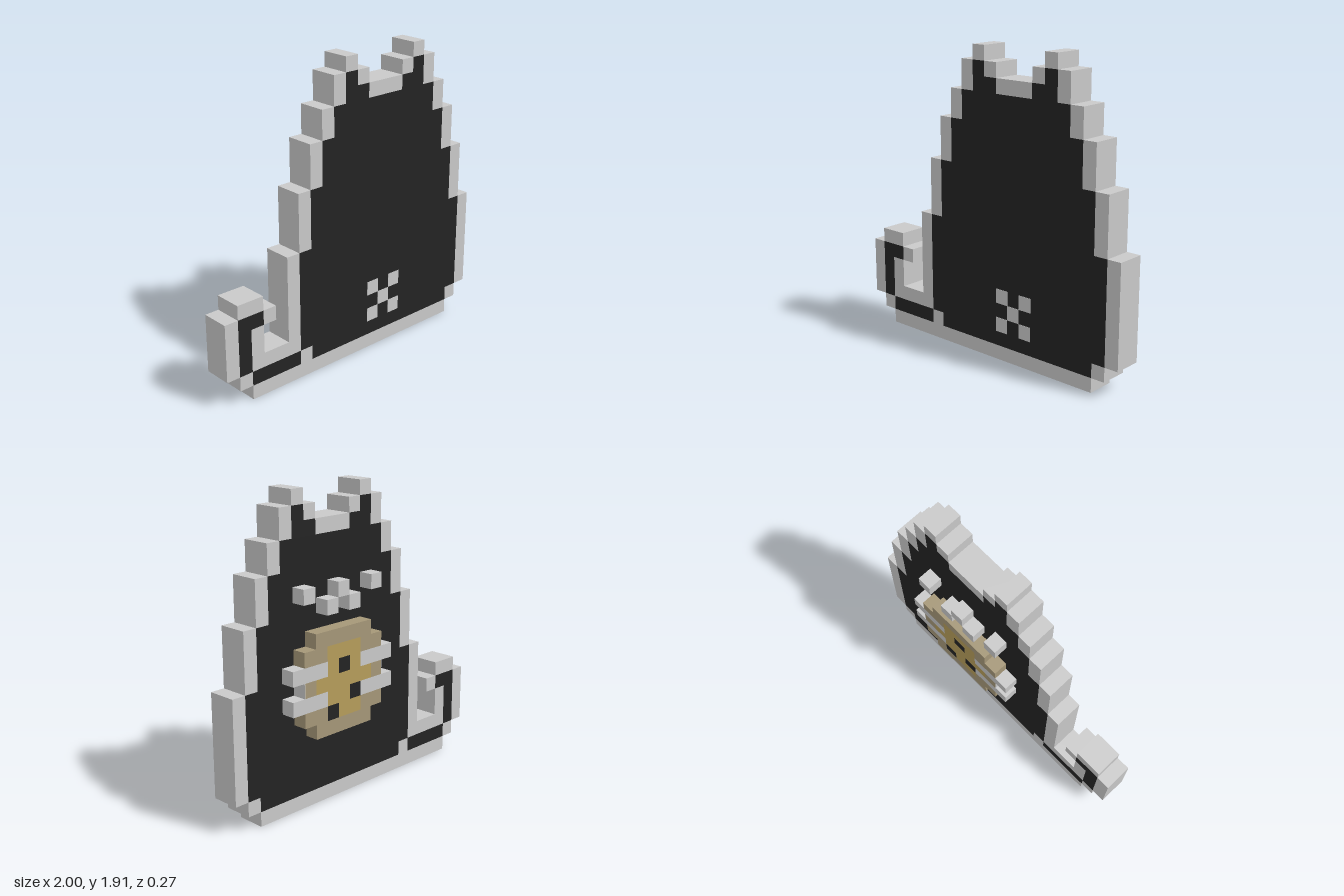
import * as THREE from 'three';
import { mergeGeometries } from 'three/addons/utils/BufferGeometryUtils.js';

const U = 1 / 11;            // one block
const BACK = -1.5 * U;       // rear plane
const MID = -0.5 * U;        // plane between body and raised details
const FRONT = 1.5 * U;       // front plane

const mat = (name, color) => {
  const m = new THREE.MeshStandardMaterial({ color });
  m.name = name;
  return m;
};

// Merge blocks given as [firstColumn, firstRow, lastColumn, lastRow] between two depths
function blocks(name, material, list, z0, z1) {
  const parts = list.map(([c0, r0, c1 = c0, r1 = r0]) => {
    const w = (c1 - c0 + 1) * U, h = (r1 - r0 + 1) * U;
    return new THREE.BoxGeometry(w, h, z1 - z0)
      .translate(-1 + c0 * U + w / 2, r0 * U + h / 2, (z0 + z1) / 2);
  });
  const mesh = new THREE.Mesh(mergeGeometries(parts), material);
  mesh.name = name;
  return mesh;
}

export function createModel() {
  const group = new THREE.Group();
  group.name = 'blockCat';
  const black = mat('black', 0x232323);
  const white = mat('paleGrey', 0xc9c9c9);
  const tan = mat('tan', 0xa59778);
  const gold = mat('gold', 0xb59c5a);

  // Black body, ears and tail core
  group.add(blocks('body', black, [
    [7, 1, 19, 1], [6, 2, 20, 8], [7, 9, 19, 12], [8, 13, 18, 15], [9, 16, 17, 17],
  ], MID, FRONT));
  group.add(blocks('ears', black, [[10, 18, 11, 18], [10, 19], [15, 18, 16, 18], [16, 19]], MID, FRONT));
  group.add(blocks('tail', black, [[2, 1, 5, 1], [1, 2, 1, 5], [2, 5]], MID, FRONT));

  // Pale border around the silhouette
  group.add(blocks('bodyOutline', white, [
    [2, 0, 19, 0], [6, 1], [20, 1], [5, 3, 5, 8], [21, 2, 21, 8],
    [6, 9, 6, 12], [20, 9, 20, 12], [7, 13, 7, 15], [19, 13, 19, 15],
    [8, 16, 8, 17], [18, 16, 18, 17], [12, 18, 14, 18],
  ], MID, FRONT));
  group.add(blocks('earOutline', white, [
    [9, 18, 9, 19], [10, 20], [11, 19], [15, 19], [16, 20], [17, 18, 17, 19],
  ], MID, FRONT));
  group.add(blocks('tailOutline', white, [
    [1, 1], [0, 2, 0, 5], [1, 6, 2, 6], [3, 5], [2, 3, 2, 4], [2, 2, 5, 2],
  ], MID, FRONT));

  // Painted cross on the front
  group.add(blocks('frontCross', white, [[12, 4], [14, 4], [13, 3], [12, 2], [14, 2]], FRONT - 0.002, FRONT + 0.002));

  // Raised face on the rear: two eyes and a zigzag mouth
  group.add(blocks('eyes', white, [[10, 14], [16, 14]], BACK, MID));
  group.add(blocks('mouth', white, [[12, 13], [13, 14], [14, 13]], BACK, MID));

  // Round biscuit with rim, filling and chips
  group.add(blocks('biscuitRim', tan, [
    [11, 11, 15, 11], [10, 10, 11, 10], [15, 10, 16, 10], [10, 8], [16, 8],
    [10, 6, 11, 6], [15, 6, 16, 6], [11, 5, 15, 5],
  ], BACK, MID));
  group.add(blocks('biscuitFilling', gold, [
    [12, 10, 14, 10], [12, 9], [14, 9], [11, 8, 15, 8], [13, 7, 14, 7], [12, 6, 13, 6],
  ], BACK, MID));
  group.add(blocks('chips', black, [[13, 9], [12, 7], [14, 6]], BACK, MID));

  // Paws gripping the biscuit from both sides
  const paws = [];
  for (const r of [7, 9]) paws.push([9, r, 11, r], [15, r, 17, r]);
  group.add(blocks('paws', white, paws, BACK, MID));

  // Pale plates on the biscuit edge between the paws
  for (const c of [10, 17]) {
    const plate = new THREE.Mesh(new THREE.BoxGeometry(0.004, U, U), white);
    plate.name = 'pawGap';
    plate.position.set(-1 + c * U, 8.5 * U, -U);
    group.add(plate);
  }
  return group;
}
